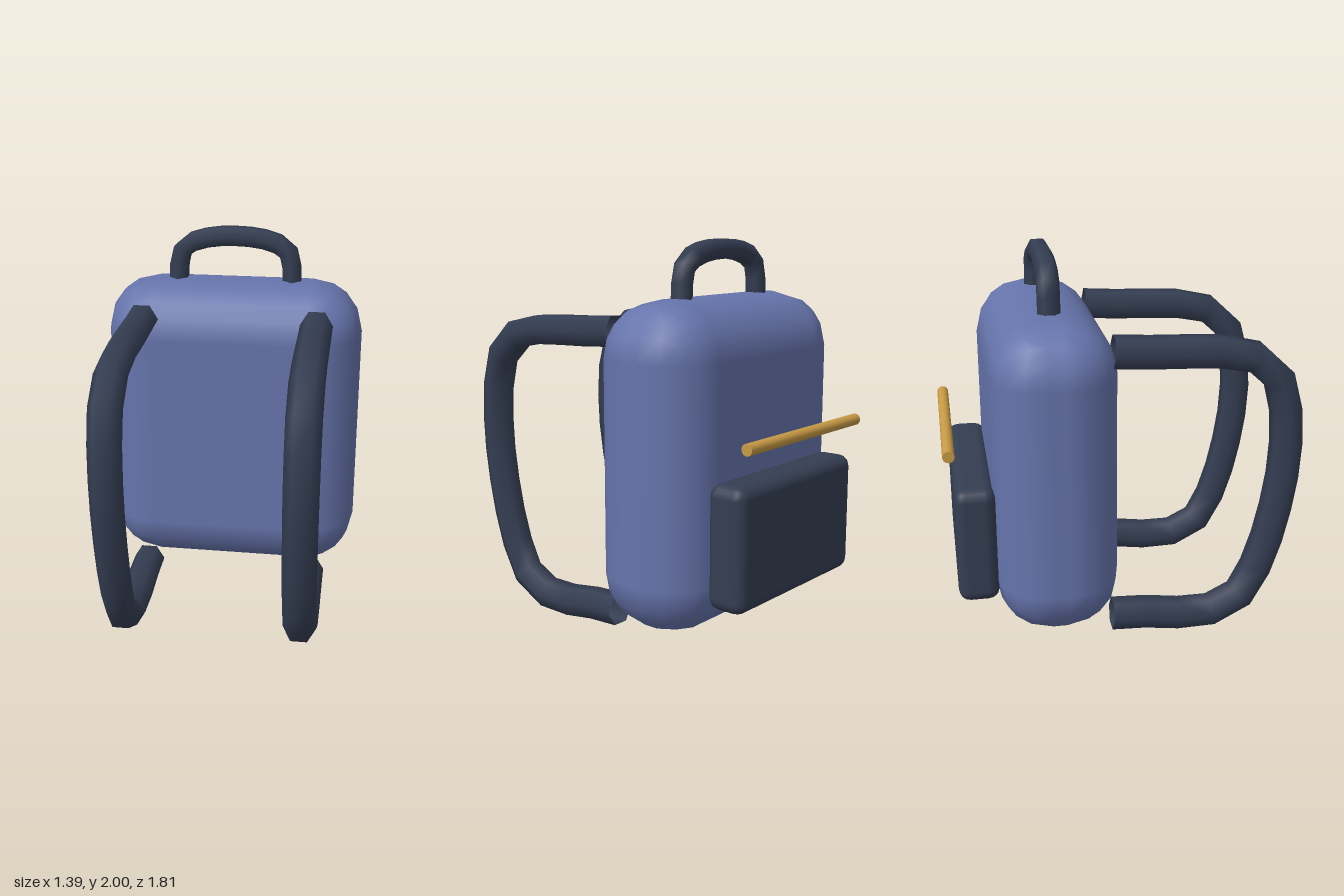
import * as THREE from 'three';
import { RoundedBoxGeometry } from 'three/addons/geometries/RoundedBoxGeometry.js';

const blue = new THREE.MeshStandardMaterial({ color: 0x6674ac });
const dark = new THREE.MeshStandardMaterial({ color: 0x343d52, side: THREE.DoubleSide });
const gold = new THREE.MeshStandardMaterial({ color: 0xc89b45 });

export function createModel() {
  const model = new THREE.Group();
  model.name = 'backpack';

  const add = (name, geometry, material, x, y, z) => {
    const mesh = new THREE.Mesh(geometry, material);
    mesh.name = name;
    mesh.position.set(x, y, z);
    model.add(mesh);
    return mesh;
  };

  // six-sided webbing swept along a smooth path
  const webbing = (points, segments, radius) =>
    new THREE.TubeGeometry(
      new THREE.CatmullRomCurve3(points.map((p) => new THREE.Vector3(...p))),
      segments, radius, 6, false);

  // main bag and back pocket
  add('body', new RoundedBoxGeometry(1.395, 1.64, 0.635, 2, 0.28), blue, 0, 0.9, -0.353);
  add('backPocket', new RoundedBoxGeometry(1.0, 0.622, 0.21, 2, 0.06), dark, 0, 0.571, -0.757);

  // zip bar
  const zip = add('zipBar', new THREE.CylinderGeometry(0.03, 0.03, 0.97, 12), gold, 0, 1.073, -0.875);
  zip.rotation.z = Math.PI / 2;

  // carrying handle, mirrored from one half of its arch
  const half = [[-0.31, 1.715], [-0.3, 1.835], [-0.272, 1.89], [-0.165, 1.935]];
  const arch = [
    ...half.map(([x, y]) => [x, y, 0]),
    [0, 1.951, 0],
    ...half.slice().reverse().map(([x, y]) => [-x, y, 0]),
  ];
  add('topHandle', webbing(arch, 12, 0.057), dark, 0, 0, -0.353);

  // shoulder straps: [z, y] path from the top of the bag to the bottom
  const strapPath = [
    [-0.065, 1.555], [0.17, 1.54], [0.455, 1.53], [0.64, 1.495], [0.775, 1.375],
    [0.823, 1.2], [0.834, 1.0], [0.82, 0.8], [0.77, 0.525], [0.71, 0.325],
    [0.62, 0.155], [0.46, 0.075], [0.29, 0.074], [0.1, 0.1], [-0.07, 0.107],
  ].map(([z, y]) => [0, y, z]);
  const strap = webbing(strapPath, 16, 0.086);
  add('leftStrap', strap, dark, 0.463, 0, 0);
  add('rightStrap', strap, dark, -0.463, 0, 0);

  return model;
}
